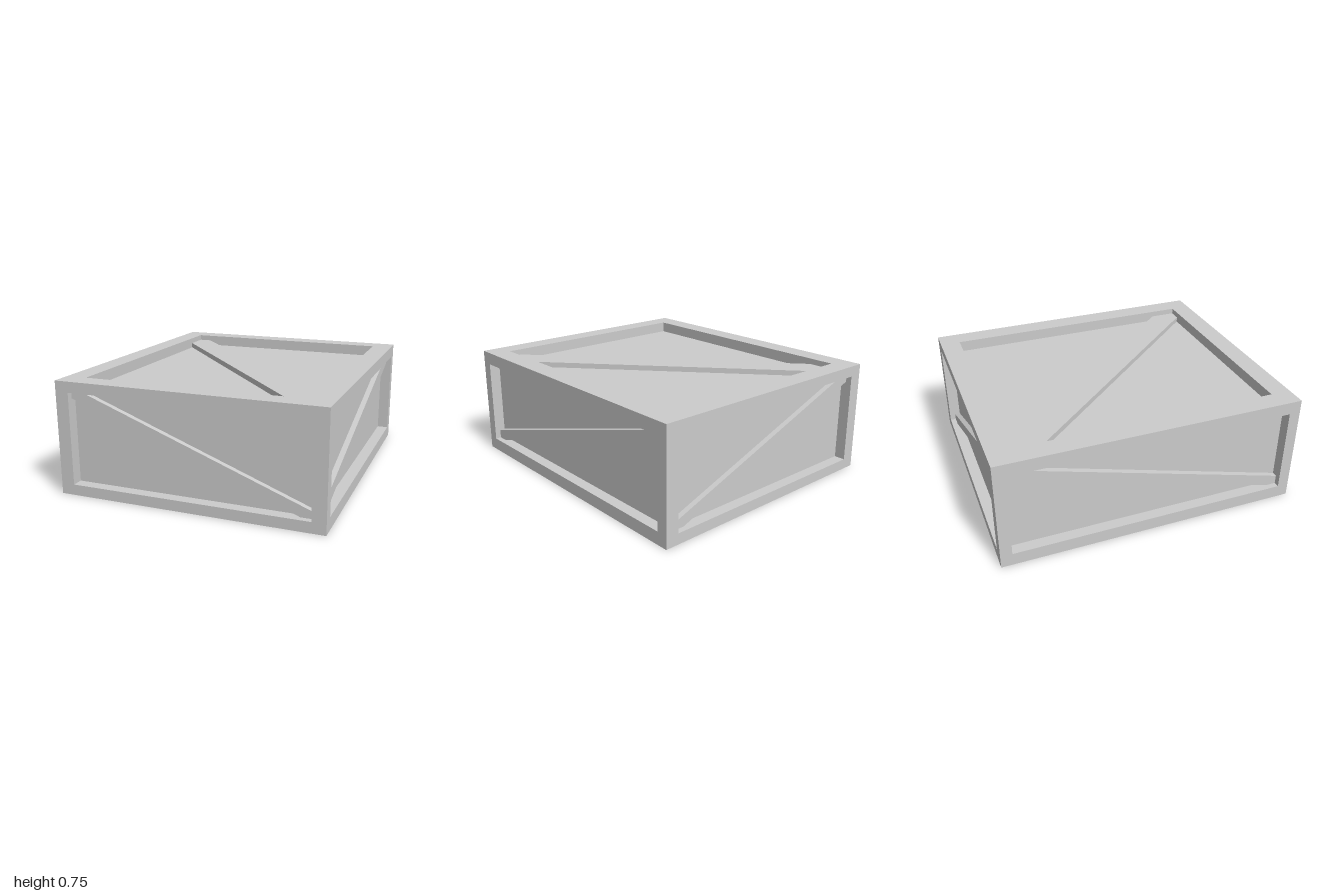
import * as THREE from 'three';

const W = 0.872, H = 0.3725, D = 1; // half sizes of the crate
const RECESS = 0.075, BRACE = 0.036;

const material = new THREE.MeshStandardMaterial({ color: 0xcccccc, flatShading: true });

// Corners of a rectangle, counter-clockwise, at depth z
const rect = (w, h, z) => [[-w, -h, z], [w, -h, z], [w, h, z], [-w, h, z]];

// Joins successive four-corner loops with quads
function bandGeometry(loops) {
  const pos = [];
  for (let k = 0; k < loops.length - 1; k++) {
    for (let i = 0; i < 4; i++) {
      const j = (i + 1) % 4;
      const a = loops[k][i], b = loops[k][j], c = loops[k + 1][j], d = loops[k + 1][i];
      pos.push(...a, ...b, ...c, ...a, ...c, ...d);
    }
  }
  const g = new THREE.BufferGeometry();
  g.setAttribute('position', new THREE.Float32BufferAttribute(pos, 3));
  g.computeVertexNormals();
  return g;
}

// One side: frame with recess walls, sunken panel and diagonal brace.
// w, h: half size; iw, ih: half opening; cx, cy: brace corner cuts; dir: 1 rising, -1 falling
function crateSide({ name, w, h, iw, ih, cx, cy, dir, out, rot }) {
  const side = new THREE.Group();
  side.name = name;
  const add = (geometry, part, z) => {
    const mesh = new THREE.Mesh(geometry, material);
    mesh.name = part;
    mesh.position.z = z;
    side.add(mesh);
  };

  add(bandGeometry([rect(w, h, 0), rect(iw, ih, 0), rect(iw, ih, -RECESS)]), name + 'Frame', out);
  add(new THREE.PlaneGeometry(2 * iw, 2 * ih), name + 'Panel', out - RECESS);

  // Brace runs corner to corner, clipped by the opening
  const outline = [
    [-iw, -ih], [-iw + cx, -ih], [iw, ih - cy],
    [iw, ih], [iw - cx, ih], [-iw, -ih + cy],
  ].map(([x, y]) => new THREE.Vector2(x * dir, y));
  const brace = new THREE.ExtrudeGeometry(new THREE.Shape(outline), { depth: BRACE, bevelEnabled: false });
  add(brace, name + 'Brace', out - RECESS);

  side.rotation.set(...rot);
  return side;
}

export function createModel() {
  const crate = new THREE.Group();
  crate.name = 'crate';
  const q = Math.PI / 2;
  const ends = { w: W, h: H, iw: 0.783, ih: 0.302, cx: 0.075, cy: 0.045, out: D };
  const flanks = { w: D, h: H, iw: 0.925, ih: 0.288, cx: 0.068, cy: 0.06, out: W };
  const lids = { w: W, h: D, iw: 0.735, ih: 0.865, cx: 0.087, cy: 0.175, out: H };
  const sides = [
    { ...ends, name: 'front', dir: -1, rot: [0, 0, 0] },
    { ...ends, name: 'back', dir: 1, rot: [0, 2 * q, 0] },
    { ...flanks, name: 'left', dir: 1, rot: [0, q, 0] },
    { ...flanks, name: 'right', dir: -1, rot: [0, -q, 0] },
    { ...lids, name: 'top', dir: -1, rot: [-q, 0, 0] },
    { ...lids, name: 'bottom', dir: 1, rot: [q, 0, 0] },
  ];
  for (const s of sides) {
    const side = crateSide(s);
    side.position.y = H;
    crate.add(side);
  }
  return crate;
}
